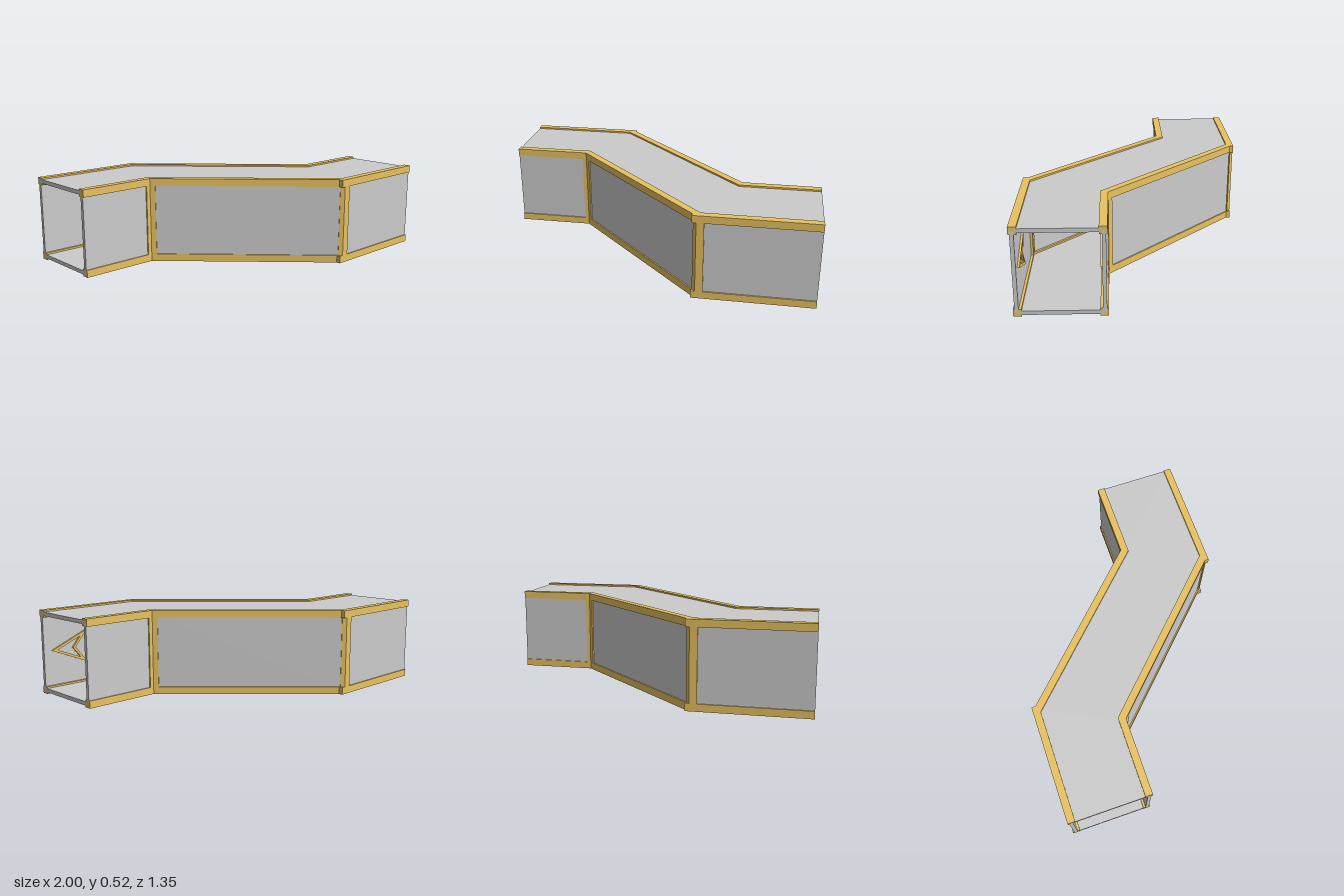
import * as THREE from 'three';

const H = 0.525, RAIL = 0.045;
const grey = new THREE.MeshStandardMaterial({ color: 0xcccccc });
const gold = new THREE.MeshStandardMaterial({ color: 0xe8c260 });

// Plan line of the front wall's outer face, as [x, z]
const PATH = [[-1, -0.165], [-0.53, -0.165], [0.31, 0.675], [1, 0.675]];

// Moves a plan line inwards by d, with mitred bends
function inset(path, d) {
  const normals = path.slice(1).map(([x, z], i) => {
    const dx = x - path[i][0], dz = z - path[i][1], l = Math.hypot(dx, dz);
    return [dz / l, -dx / l];
  });
  return path.map(([x, z], i) => {
    const a = normals[Math.max(i - 1, 0)], b = normals[Math.min(i, normals.length - 1)];
    const k = d / (1 + a[0] * b[0] + a[1] * b[1]);
    return [x + (a[0] + b[0]) * k, z + (a[1] + b[1]) * k];
  });
}

// Upright prism on a plan outline between two heights
function prism(name, outline, y0, y1, material) {
  const shape = new THREE.Shape(outline.map(([x, z]) => new THREE.Vector2(x, -z)));
  const g = new THREE.ExtrudeGeometry(shape, { depth: y1 - y0, bevelEnabled: false });
  g.rotateX(-Math.PI / 2).translate(0, y0, 0);
  const m = new THREE.Mesh(g, material);
  m.name = name;
  return m;
}

// Plan strip between two insets of a line
const strip = (path, d0, d1) => [...inset(path, d0), ...inset(path, d1).reverse()];

// Short plan line around a bend, reaching a before it and b after it
function bend(i, a, b) {
  const p = PATH[i];
  const along = (q, d) => {
    const l = Math.hypot(q[0] - p[0], q[1] - p[1]);
    return [p[0] + (q[0] - p[0]) * d / l, p[1] + (q[1] - p[1]) * d / l];
  };
  return [along(PATH[i - 1], a), p, along(PATH[i + 1], b)];
}

function sideWall(name) {
  const side = new THREE.Group();
  side.name = name;
  side.add(prism('wallPanel', strip(PATH, 0.008, 0.03), 0.02, H - 0.02, grey));

  // Rails, with the blunt step on the outside of the outer bend
  const rail = [PATH[0], PATH[1], [0.285, 0.65], [0.285, 0.675], PATH[3],
    ...inset(PATH, RAIL).reverse()];
  side.add(prism('bottomRail', rail, 0, RAIL, gold));
  side.add(prism('topRail', rail, H - RAIL, H, gold));

  // Posts at the two bends
  side.add(prism('innerBendPost', strip(bend(1, 0.025, 0.032), 0, RAIL), RAIL, H - RAIL, gold));
  side.add(prism('outerBendPost', strip(bend(2, 0.028, 0.045), 0, RAIL), RAIL, H - RAIL, gold));
  return side;
}

// Hollow notched arrowhead pointing along +x
function arrow(name, z) {
  const dart = (tip, back, half, notch) =>
    [[tip, 0], [back, half], [notch, 0], [back, -half]].map(p => new THREE.Vector2(...p));
  const shape = new THREE.Shape(dart(0.95, 0.695, 0.106, 0.78));
  shape.holes.push(new THREE.Path(dart(0.91, 0.745, 0.068, 0.8).reverse()));
  const g = new THREE.ExtrudeGeometry(shape, { depth: 0.014, bevelEnabled: false });
  const m = new THREE.Mesh(g, gold);
  m.position.set(0, 0.266, z);
  m.name = name;
  return m;
}

export function createModel() {
  const model = new THREE.Group();
  model.name = 'bentDuct';

  const front = sideWall('frontWall');
  const back = sideWall('backWall');
  back.rotation.y = Math.PI;
  model.add(front, back);

  // Floor and roof fill the plan between the walls
  const line = inset(PATH, 0.02);
  const plan = [...line, ...line.map(([x, z]) => [-x, -z])];
  model.add(prism('floorPanel', plan, 0.01, 0.034, grey));
  model.add(prism('roofPanel', plan, H - 0.034, H - 0.01, grey));

  // Arrowheads on both inside walls near one mouth
  model.add(arrow('frontArrow', 0.633), arrow('backArrow', 0.193));
  return model;
}
